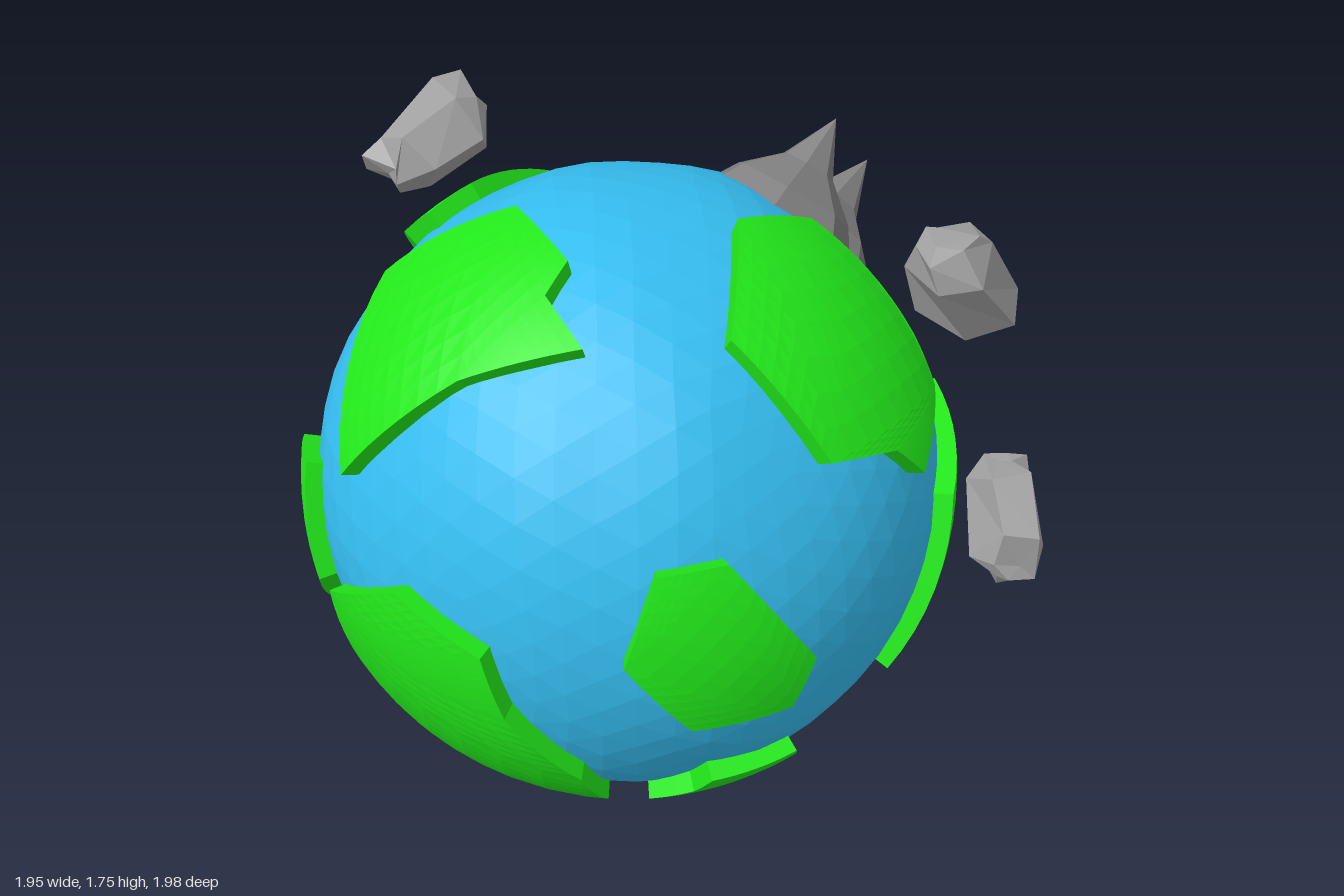
import * as THREE from 'three';

const SEA = 0.8, LAND = 0.845, ROOT = 0.78;
const UP = new THREE.Vector3(0, 1, 0);
const V = (x, y, z) => new THREE.Vector3(x, y, z);

const mat = (color) => new THREE.MeshStandardMaterial({ color, flatShading: true });
const blue = mat(0x35bdf0), green = mat(0x22e81a), stone = mat(0xa0a0a0), slate = mat(0x808080);
const bark = mat(0x1e100d), red = mat(0xa01010), white = mat(0xe8e8e8);

// Makes a function giving the unit direction at offset (u, v) on the globe, facing one side of it
function facing(azimuth, elevation) {
  const [a, e] = [azimuth, elevation].map(THREE.MathUtils.degToRad);
  const right = V(Math.cos(a), 0, -Math.sin(a));
  const toward = V(Math.sin(a) * Math.cos(e), Math.sin(e), Math.cos(a) * Math.cos(e));
  const up = toward.clone().cross(right);
  return (u, v) => V(0, 0, 0).addScaledVector(right, u).addScaledVector(up, v)
    .addScaledVector(toward, Math.sqrt(Math.max(0, LAND * LAND - u * u - v * v))).normalize();
}
const front = facing(0, 0), side = facing(90, 0), top = facing(0, 90);
const back = facing(215, 25), under = facing(140, -30);

// Raised land plate: coast outline filled, subdivided, wrapped on the globe, with cliffs
function landGeometry(coast) {
  const n = coast.reduce((s, p) => s.add(p), V(0, 0, 0)).normalize();
  const e1 = V(0.3, 0.5, 0.81).cross(n).normalize(), e2 = n.clone().cross(e1);
  const flat = coast.map((p) => new THREE.Vector2(p.dot(e1), p.dot(e2)).divideScalar(p.dot(n)));
  if (THREE.ShapeUtils.isClockWise(flat)) flat.reverse();
  const out = [];
  const put = (q, r) => {
    const p = n.clone().addScaledVector(e1, q.x).addScaledVector(e2, q.y).setLength(r);
    out.push(p.x, p.y, p.z);
  };
  const mid = (a, b) => a.clone().lerp(b, 0.5);
  const fill = (a, b, c, depth) => {
    if (!depth) return [a, b, c].forEach((q) => put(q, LAND));
    const ab = mid(a, b), bc = mid(b, c), ca = mid(c, a);
    [[a, ab, ca], [ab, b, bc], [ca, bc, c], [ab, bc, ca]].forEach((t) => fill(...t, depth - 1));
  };
  for (const [i, j, k] of THREE.ShapeUtils.triangulateShape(flat, [])) {
    const a = flat[i], b = flat[j], c = flat[k];
    const turn = (b.x - a.x) * (c.y - a.y) - (b.y - a.y) * (c.x - a.x);
    if (turn > 0) fill(a, b, c, 3); else fill(a, c, b, 3);
  }
  flat.forEach((a, i) => {
    const b = flat[(i + 1) % flat.length];
    for (let s = 0; s < 8; s++) {
      const p = a.clone().lerp(b, s / 8), q = a.clone().lerp(b, (s + 1) / 8);
      put(p, ROOT); put(q, ROOT); put(q, LAND);
      put(p, ROOT); put(q, LAND); put(p, LAND);
    }
  });
  const g = new THREE.BufferGeometry();
  g.setAttribute('position', new THREE.Float32BufferAttribute(out, 3));
  g.computeVertexNormals();
  return g;
}

// Position-based wobble, so that shared corners stay joined
function roughen(g, amount, seed) {
  const p = g.attributes.position;
  const wave = (x, y, z, k) => Math.sin(x * 5.1 + y * 7.3 * k + z * 6.7 + seed * k * 2.3);
  for (let i = 0; i < p.count; i++) {
    const x = p.getX(i), y = p.getY(i), z = p.getZ(i);
    p.setXYZ(i, x + amount * wave(x, y, z, 1), y + amount * wave(z, x, y, 2), z + amount * wave(y, z, x, 3));
  }
  g.computeVertexNormals();
  return g;
}

const lathe = (profile, sides) =>
  new THREE.LatheGeometry(profile.map(([r, y]) => new THREE.Vector2(r, y)), sides);

// Chunky boulder along an axis, with a given centre and size
function rockGeometry(axis, centre, size, seed) {
  const g = roughen(lathe([[0, -1.25], [0.4, -1.2], [0.75, -0.7], [0.72, 0.65], [0.42, 1.15], [0, 1.25]], 6), 0.13, seed);
  g.applyQuaternion(new THREE.Quaternion().setFromUnitVectors(UP, axis.normalize()));
  g.center();
  const s = size.divide(g.boundingBox.getSize(V()));
  return g.scale(s.x, s.y, s.z).translate(centre.x, centre.y, centre.z);
}

export function createModel() {
  const root = new THREE.Group();
  root.name = 'planet';
  const globe = new THREE.Group();
  globe.name = 'globe';
  globe.position.set(-0.14, 0.81, 0.14);
  root.add(globe);
  const add = (parent, name, geometry, material) => {
    const m = new THREE.Mesh(geometry, material);
    m.name = name;
    parent.add(m);
    return m;
  };
  // Group whose +y points outward along a direction from the globe centre
  const outward = (name, dir) => {
    const g = new THREE.Group();
    g.name = name;
    g.quaternion.setFromUnitVectors(UP, dir.normalize());
    globe.add(g);
    return g;
  };
  const land = (name, ...coast) => add(globe, name, landGeometry(coast), green);

  add(globe, 'ocean', roughen(new THREE.IcosahedronGeometry(SEA, 9), 0.004, 1), blue);

  // Lands, each from the corners of its coast
  land('frontIsland', front(-.38, .3), front(-.23, .31), front(-.04, .01), front(-.09, -.13),
    front(-.33, -.13), front(-.47, .08));
  land('frontUpperLand', top(-.05, -.49), top(.16, -.22), top(.4, -.2), front(.53, .48), front(.54, .37),
    front(.37, .28), front(.28, .38), front(.07, .44));
  land('topRightLand', top(-.495, .32), top(-.24, .115), top(-.26, -.15), top(-.345, -.19), top(-.345, -.345),
    top(-.57, -.18), top(-.79, .02));
  land('rightLand', front(-.8, .13), front(-.705, .05), front(-.67, -.13), front(-.51, -.36), front(-.39, -.56),
    front(-.4, -.62), back(.58, -.58), back(.66, -.27));
  land('backRightLand', back(.13, -.5), back(.315, -.22), back(.5, -.105), back(.59, -.34), back(.41, -.58));
  land('frontLowerLand', front(-.22, -.415), front(.01, -.41), front(.1, -.585), front(-.04, -.74),
    front(-.11, -.79), front(-.3, -.57), front(-.23, -.5));
  land('volcanoLand', front(.37, -.39), front(.54, .1), side(-.29, .16), side(-.24, .08), side(-.12, .08),
    side(.14, -.25), side(.26, -.195), side(.245, -.34), side(.31, -.435), side(.16, -.58), side(-.15, -.6),
    front(.59, -.45));
  land('leftLand', side(.4, .23), side(.42, .33), side(.53, .43), side(.64, .425), under(.27, .68),
    under(.34, .46), side(.535, .05));
  land('backUpperLand', back(-.48, .1), back(-.48, .33), back(-.15, .4), back(0, .365), back(-.03, .245),
    back(-.24, .035));
  land('backLowerLand', under(.147, .25), under(.5, .11), under(.74, -.15), under(.57, -.615),
    under(.11, -.545), under(0, .035));

  // Twin-peaked mountain
  [[V(.685, .8, -.07), 1.05], [V(.87, .59, -.15), 1.06]].forEach(([dir, height], i) => {
    const g = outward(`mountain${i + 1}`, dir);
    add(g, 'peak', lathe([[.23, .74], [.17, .83], [.075, .91], [0, height]], 7), slate);
  });

  // Volcano with a small stone tip
  const volcano = outward('volcano', V(1.02, -.45, .09));
  add(volcano, 'cone', lathe([[.17, .78], [.14, .86], [.075, .98], [.03, 1.09], [0, 1.09]], 7), bark);
  add(volcano, 'tip', lathe([[.03, 1.08], [.02, 1.115], [0, 1.12]], 6), stone);

  // Striped lighthouse
  const tower = outward('lighthouse', V(.39, -.49, -.76));
  for (let i = 0; i < 6; i++) {
    const r = 0.078 - i * 0.008;
    const band = add(tower, 'band', new THREE.CylinderGeometry(r - 0.006, r, 0.026, 4), i % 2 ? red : white);
    band.position.y = 0.842 + i * 0.026;
  }

  // Plank pier reaching over the water
  const start = side(.52, .1), end = side(.36, .02);
  const along = end.clone().sub(start).normalize();
  const normal = start.clone().add(end).normalize();
  const pier = new THREE.Group();
  pier.name = 'pier';
  pier.quaternion.setFromRotationMatrix(new THREE.Matrix4().makeBasis(along, normal, along.clone().cross(normal)));
  pier.position.copy(normal).multiplyScalar(0.815);
  globe.add(pier);
  add(pier, 'beam', new THREE.BoxGeometry(0.19, 0.02, 0.05), bark);
  for (let i = 0; i < 4; i++) {
    const plank = add(pier, 'plank', new THREE.BoxGeometry(0.036, 0.02, 0.11), bark);
    plank.position.set(-0.075 + i * 0.05, 0.012, i % 2 ? 0.006 : -0.006);
  }

  // Floating rocks: axis, centre, size
  [
    [V(-.12, .22, .02), V(.265, 1.6, .845), V(.29, .305, .26)],
    [V(-.28, -.14, .03), V(-.275, 1.49, -.63), V(.36, .26, .25)],
    [V(.1, .15, -.15), V(.84, .49, .555), V(.25, .315, .31)],
    [V(.18, .06, .2), V(.11, .28, -.85), V(.315, .235, .3)],
  ].forEach(([axis, centre, size], i) => add(root, `rock${i + 1}`, rockGeometry(axis, centre, size, i + 1), stone));

  return root;
}
